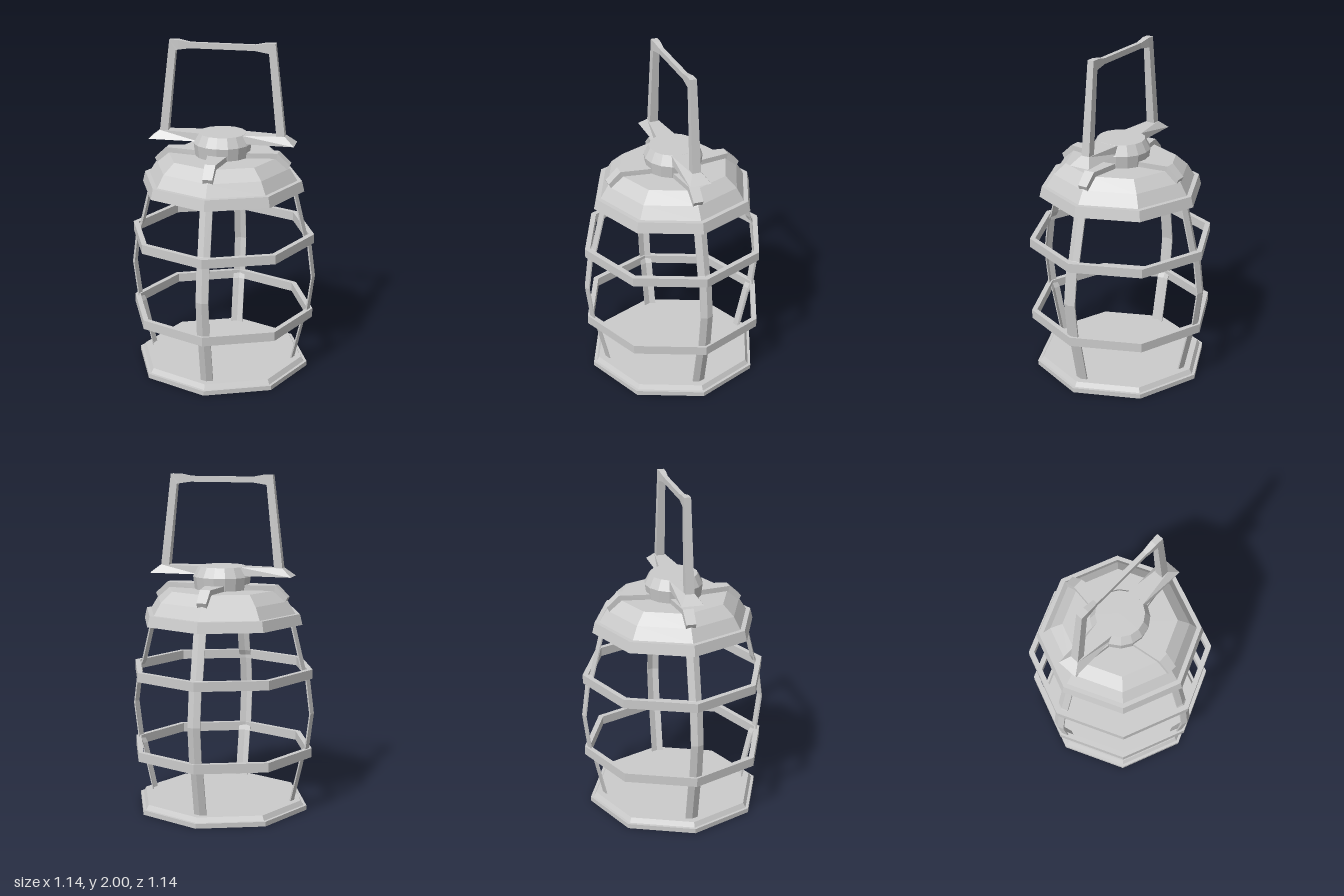
import * as THREE from 'three';

const material = new THREE.MeshStandardMaterial({ color: 0xcccccc, flatShading: true, side: THREE.DoubleSide });

function addMesh(parent, name, geometry) {
  const mesh = new THREE.Mesh(geometry, material);
  mesh.name = name;
  parent.add(mesh);
  return mesh;
}

// Faceted solid of revolution from [radius, height] pairs
function turned(profile, sides = 8) {
  return new THREE.LatheGeometry(profile.map(([r, y]) => new THREE.Vector2(r, y)), sides);
}

// Capped skin through cross-section loops, each counter-clockwise about the travel direction
function loft(loops) {
  const n = loops[0].length;
  const last = (loops.length - 1) * n;
  const index = [];
  for (let i = 0; i < loops.length - 1; i++) {
    for (let j = 0; j < n; j++) {
      const a = i * n + j;
      const b = i * n + (j + 1) % n;
      index.push(a, b, b + n, a, b + n, a + n);
    }
  }
  for (let j = 1; j < n - 1; j++) {
    index.push(0, j + 1, j, last, last + j, last + j + 1);
  }
  const geometry = new THREE.BufferGeometry();
  geometry.setAttribute('position', new THREE.Float32BufferAttribute(loops.flat(2), 3));
  geometry.setIndex(index);
  geometry.computeVertexNormals();
  return geometry;
}

export function createModel() {
  const lantern = new THREE.Group();
  lantern.name = 'lantern';

  // Octagonal base plate with a bevelled upper lip
  addMesh(lantern, 'base', turned([[0, 0], [0.53, 0], [0.53, 0.028], [0.512, 0.028], [0.495, 0.056], [0, 0.056]]));

  // Two octagonal cage bands
  for (const [name, y] of [['lowerBand', 0.33], ['upperBand', 0.808]]) {
    const top = y + 0.055;
    addMesh(lantern, name, turned([[0.558, y], [0.558, top], [0.525, top], [0.525, y], [0.558, y]]));
  }

  // Roof rim and stepped dome
  addMesh(lantern, 'roof', turned([
    [0, 1.127], [0.493, 1.127], [0.478, 1.19], [0.45, 1.19], [0.405, 1.262], [0.333, 1.325], [0, 1.325],
  ]));

  // Round cap on the roof
  addMesh(lantern, 'cap', turned([[0, 1.32], [0.162, 1.32], [0.173, 1.4], [0.142, 1.46], [0, 1.46]], 16));

  // Bowed cage ribs, folded to follow the octagon corners
  const ribProfile = [
    [0.452, 0.05], [0.517, 0.335], [0.542, 0.385], [0.569, 0.6], [0.542, 0.81], [0.515, 0.862], [0.45, 1.13],
  ];
  const w = 0.037, fold = 0.013, t = 0.008;
  const ribGeometry = loft(ribProfile.map(([r, y]) => [
    [-w, y, r - fold], [0, y, r], [w, y, r - fold],
    [w, y, r - fold - t], [0, y, r - t], [-w, y, r - fold - t],
  ]));

  // Tapered straps that run from the cap over the dome shoulder
  const strapSections = [
    // half width, bottom y, bottom z, top y, top z
    [0.065, 1.315, 0.1, 1.356, 0.1],
    [0.032, 1.3, 0.325, 1.356, 0.335],
    [0.029, 1.255, 0.392, 1.288, 0.408],
  ];
  const strapGeometry = loft(strapSections.map(([h, yb, zb, yt, zt]) => [
    [-h, yb, zb], [h, yb, zb], [h, yt, zt], [-h, yt, zt],
  ]));

  for (let i = 0; i < 4; i++) {
    addMesh(lantern, 'rib', ribGeometry).rotation.y = i * Math.PI / 2;
    addMesh(lantern, 'strap', strapGeometry).rotation.y = i * Math.PI / 2;
  }

  // Crossbar through the cap, with pointed ends that carry the handle
  const barSections = [
    // bottom x, top x, bottom half depth, top half depth
    [-0.435, -0.375, 0.064, 0.027], [-0.13, -0.13, 0.062, 0.058],
    [0.13, 0.13, 0.062, 0.058], [0.435, 0.375, 0.064, 0.027],
  ];
  addMesh(lantern, 'crossbar', loft(barSections.map(([xb, xt, b, d]) => [
    [xb, 1.41, b], [xb, 1.41, -b], [xt, 1.459, -d], [xt, 1.459, d],
  ])));

  // Carrying handle: left half sections, mirrored to the other side
  const half = [
    // outer x, outer y, inner x, inner y, half depth
    [-0.375, 1.455, -0.325, 1.455, 0.026],
    [-0.312, 2.0, -0.275, 1.94, 0.02],
    [-0.26, 2.0, -0.26, 1.943, 0.019],
    [-0.19, 1.987, -0.19, 1.953, 0.014],
  ];
  const mirrored = half.map(([xo, yo, xi, yi, d]) => [-xo, yo, -xi, yi, d]).reverse();
  addMesh(lantern, 'handle', loft([...half, ...mirrored].map(([xo, yo, xi, yi, d]) => [
    [xo, yo, -d], [xo, yo, d], [xi, yi, d], [xi, yi, -d],
  ])));

  return lantern;
}
